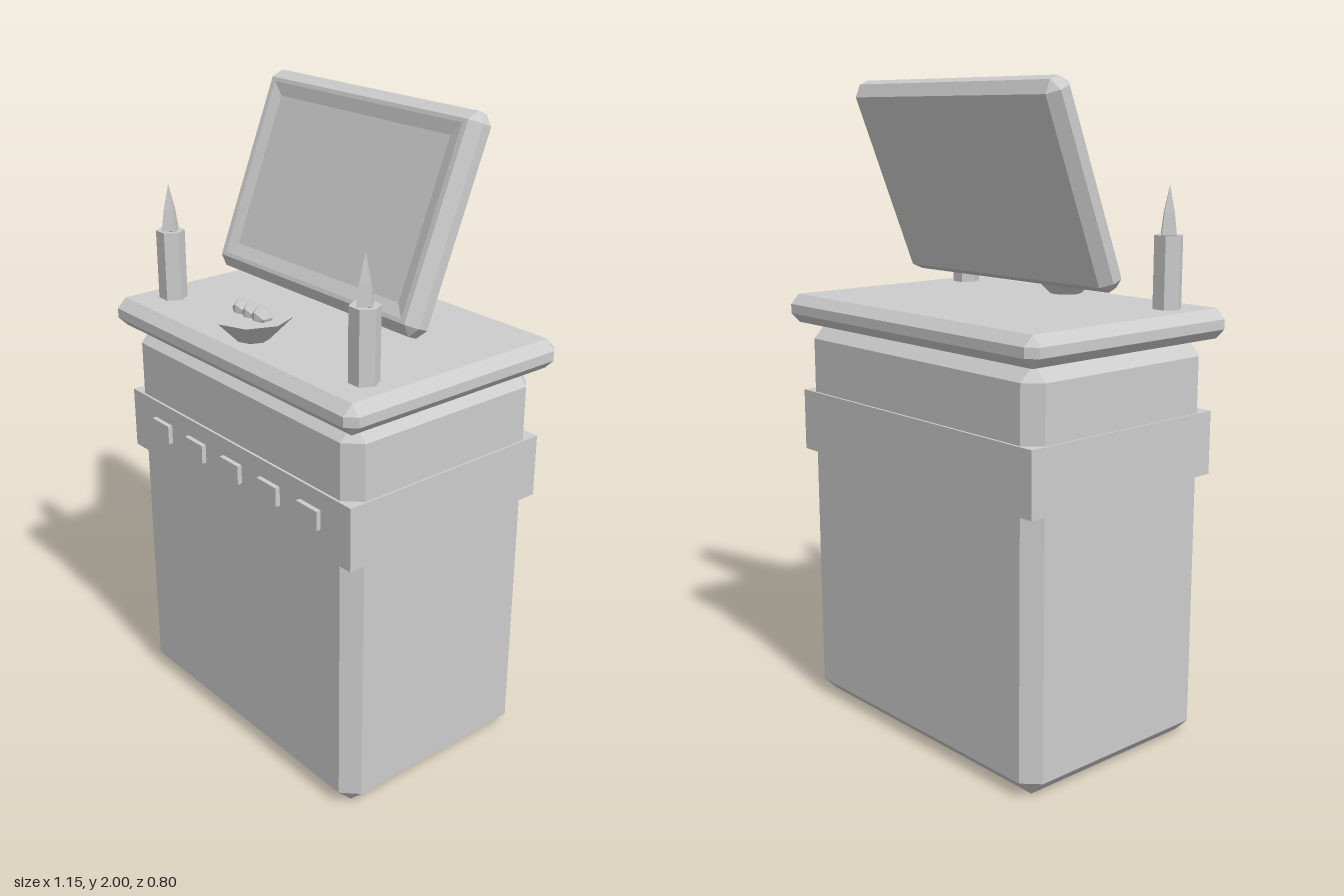
import * as THREE from 'three';

const stone = new THREE.MeshStandardMaterial({ color: 0xcccccc });
stone.name = 'pale grey';

// Rectangle cross-section with cut corners: half width w, half height h, cut c, depth z
const ring = (w, h, c, z) => [
  [w, -h + c], [w, h - c], [w - c, h], [-w + c, h],
  [-w, h - c], [-w, -h + c], [-w + c, -h], [w - c, -h],
].map(([x, y]) => new THREE.Vector3(x, y, z));

// Flat-faced skin through the rings from back to front, capped at both ends
function loft(rings) {
  const pts = [];
  const tri = (a, b, c) => {
    const area = b.clone().sub(a).cross(c.clone().sub(a)).length();
    if (area > 1e-9) pts.push(a, b, c);
  };
  for (let r = 0; r < rings.length - 1; r++) {
    const p = rings[r], q = rings[r + 1];
    for (let i = 0; i < 8; i++) {
      const j = (i + 1) % 8;
      tri(p[i], p[j], q[j]);
      tri(p[i], q[j], q[i]);
    }
  }
  const first = rings[0], last = rings[rings.length - 1];
  for (let i = 1; i < 7; i++) {
    tri(first[0], first[i + 1], first[i]);
    tri(last[0], last[i], last[i + 1]);
  }
  const g = new THREE.BufferGeometry().setFromPoints(pts);
  g.computeVertexNormals();
  return g;
}

// Half of a bevelled block: back face, then its sides
const bevelRings = (w, h, d, c) => [
  ring(w - c, h - c, 0, -d), ring(w, h, c, -d + c),
  ring(w, h, c, d - c), ring(w - c, h - c, 0, d),
];

const faceted = (g) => {
  const f = g.index ? g.toNonIndexed() : g;
  f.computeVertexNormals();
  return f;
};

export function createModel() {
  const model = new THREE.Group();
  const add = (name, geometry, x, y, z, parent = model) => {
    const mesh = new THREE.Mesh(geometry, stone);
    mesh.name = name;
    mesh.position.set(x, y, z);
    parent.add(mesh);
    return mesh;
  };

  // Pedestal, band and top slab
  add('pedestal', loft(bevelRings(0.532, 0.625, 0.357, 0.048)), 0, 0.625, 0);
  add('band', new THREE.BoxGeometry(1.076, 0.195, 0.73), 0, 0.933, 0);
  add('topSlab', loft(bevelRings(0.575, 0.045, 0.4, 0.03)), 0, 1.295, 0);

  // Row of studs on the band
  for (let i = -2; i <= 2; i++) {
    add('stud', new THREE.BoxGeometry(0.09, 0.06, 0.04), i * 0.183, 0.945, 0.36);
  }

  // Leaning tablet with a shallow sunken face
  const w = 0.455, h = 0.315, d = 0.046, c = 0.03;
  const tablet = add('tablet', loft([
    ...bevelRings(w, h, d, c),
    ring(w - c - 0.018, h - c - 0.012, 0, d),
    ring(w - c - 0.055, h - c - 0.05, 0, d - 0.01),
  ]), 0, 1.7, -0.068);
  tablet.rotation.x = -THREE.MathUtils.degToRad(22);

  // Candles with four-sided flames
  const flameProfile = [[0, 1.54], [0.031, 1.556], [0.021, 1.62], [0, 1.7]]
    .map(([r, y]) => new THREE.Vector2(r, y - 1.34));
  for (const side of [-1, 1]) {
    const candle = new THREE.Group();
    candle.name = side > 0 ? 'leftCandle' : 'rightCandle';
    candle.position.set(side * 0.455, 1.34, 0.25);
    const wax = new THREE.CylinderGeometry(0.044, 0.044, 0.225, 6).rotateY(Math.PI / 6);
    add('wax', faceted(wax), 0, 0.103, 0, candle);
    add('flame', faceted(new THREE.LatheGeometry(flameProfile, 4)), 0, 0, 0, candle);
    model.add(candle);
  }

  // Offering bowl with three lumps
  add('bowl', faceted(new THREE.CylinderGeometry(0.12, 0.045, 0.075, 8)), 0, 1.372, 0.28);
  for (let i = -1; i <= 1; i++) {
    add('offering', new THREE.IcosahedronGeometry(0.034, 0), i * 0.045, 1.418, 0.278);
  }

  return model;
}
